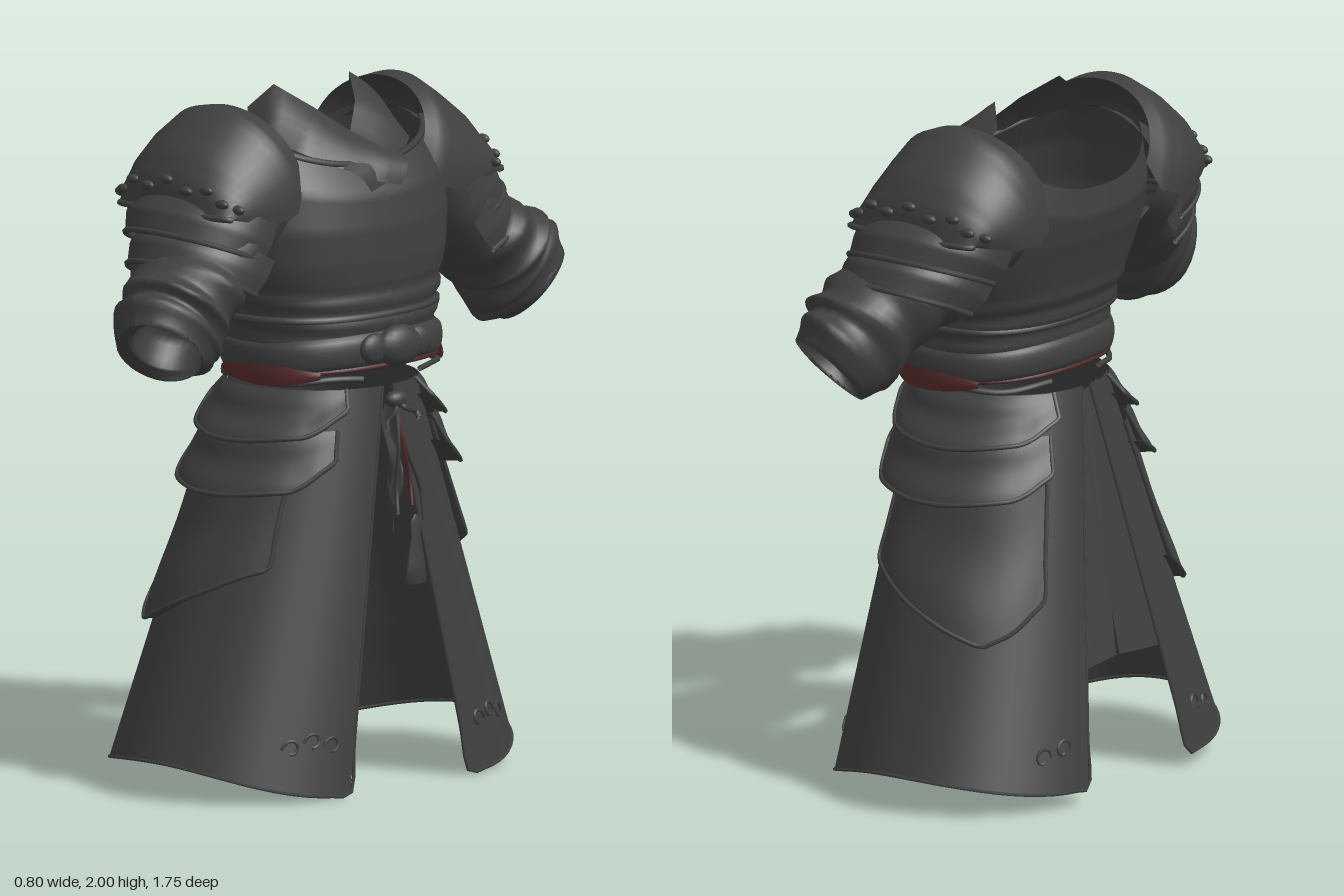
import * as THREE from 'three';

const mat = (name, color) => Object.assign(new THREE.MeshStandardMaterial({ color, side: THREE.DoubleSide }), { name });
const { sin, cos, abs, PI, min, max } = Math;
const mix = THREE.MathUtils.lerp;

// Piecewise linear reading of a list at t in 0..1 (numbers or rows of numbers)
function sample(list, t) {
  const f = min(max(t, 0), 1) * (list.length - 1), i = min(Math.floor(f), list.length - 2), k = f - i;
  return Array.isArray(list[0]) ? list[i].map((a, j) => mix(a, list[i + 1][j], k)) : mix(list[i], list[i + 1], k);
}

// Smooth sheet from a rule fn(u, v) -> [x, y, z]
function sheet(fn, nu, nv) {
  const pos = [], idx = [];
  for (let j = 0; j <= nv; j++) for (let i = 0; i <= nu; i++) pos.push(...fn(i / nu, j / nv));
  for (let j = 0; j < nv; j++) for (let i = 0; i < nu; i++) {
    const a = j * (nu + 1) + i, b = a + nu + 1;
    idx.push(a, a + 1, b, b, a + 1, b + 1);
  }
  const g = new THREE.BufferGeometry();
  g.setAttribute('position', new THREE.Float32BufferAttribute(pos, 3));
  g.setIndex(idx);
  g.computeVertexNormals();
  return g;
}

// Cord through points
function cord(points, r, closed = false, n = 40) {
  const curve = new THREE.CatmullRomCurve3(points.map(p => new THREE.Vector3(...p)), closed);
  return new THREE.TubeGeometry(curve, n, r, 6, closed);
}
const trace = (fn, n) => Array.from({ length: n + 1 }, (_, i) => fn(i / n));

// Signed power for fuller cross-sections
const full = (v, p) => Math.sign(v) * abs(v) ** p;

// Torso rows: height, back x, front x, half width
const TORSO = [
  [1.21, -0.19, 0.29, 0.32], [1.31, -0.19, 0.30, 0.33], [1.41, -0.22, 0.30, 0.355], [1.51, -0.25, 0.305, 0.39],
  [1.61, -0.28, 0.30, 0.41], [1.71, -0.30, 0.28, 0.40], [1.81, -0.29, 0.22, 0.365]];
function torsoPoint(a, v, off = 0) {
  const [y, xb, xf, w] = sample(TORSO, v), c = cos(a), s = sin(a);
  const lift = max(0, v - 0.6) / 0.4;
  const fold = v < 0.4 ? 0.006 * sin(v * 60 + 2 * c) : 0;
  return [(xb + xf) / 2 + ((xf - xb) / 2 + off + fold) * full(c, 0.85),
    y + lift * (0.075 * s * s - (c < 0 ? 0.05 * c * c : 0.02 * c * c)),
    (w + off + fold) * full(s, 0.85)];
}

// Skirt side panel, a from 0 (front slit) to PI (back slit)
function skirtPoint(a, y, off = 0) {
  const t = (1.15 - y) / 1.1, z0 = 0.02 + 0.22 * t, zs = 0.27 + 0.41 * t;
  const xf = 0.3 + 0.085 * t, xb = -0.21 - 0.185 * t;
  return [(xf + xb) / 2 + ((xf - xb) / 2 + off) * cos(a), y, z0 + (zs - z0 + off) * sin(a)];
}

// Sleeve rows: upper z, y, lower z, y, centre x, half depth, tilt toward the front
const SLEEVE = [
  [0.32, 1.88, 0.30, 1.52, -0.03, 0.23, 0], [0.49, 1.80, 0.36, 1.49, -0.01, 0.225, 0], [0.57, 1.70, 0.40, 1.45, 0.01, 0.21, 0],
  [0.64, 1.61, 0.46, 1.40, 0.03, 0.20, 0], [0.69, 1.59, 0.50, 1.385, 0.05, 0.195, 0], [0.73, 1.555, 0.55, 1.33, 0.07, 0.17, 0],
  [0.79, 1.535, 0.56, 1.31, 0.085, 0.17, 0.01], [0.80, 1.50, 0.585, 1.25, 0.09, 0.145, 0.02], [0.86, 1.485, 0.60, 1.23, 0.095, 0.135, 0.03],
  [0.875, 1.41, 0.68, 1.225, 0.115, 0.115, 0.04], [0.84, 1.41, 0.65, 1.26, 0.13, 0.085, 0.05], [0.76, 1.46, 0.60, 1.34, 0.11, 0.09, 0.04],
  [0.67, 1.45, 0.665, 1.445, 0.09, 0.004, 0]];
function sleevePoint(u, v) {
  const [uz, uy, lz, ly, xc, rx, tilt] = sample(SLEEVE, v), th = u * 2 * PI;
  const k = cos(th) * (1 + 0.03 * sin(v * 50 + 2 * th)), s = sin(th) * (1 + 0.03 * sin(v * 40 + th));
  return [xc + rx * s, (uy + ly) / 2 + (uy - ly) / 2 * k + tilt * 0.7 * s, (uz + lz) / 2 + (uz - lz) / 2 * k - tilt * 0.7 * s];
}

// Arched shoulder plates: top z, y, foot z, y, centre x, half depth
const PLATES = {
  shoulderDome: [[0.325, 1.96, 0.25, 1.78, -0.04, 0.22], [0.39, 1.965, 0.28, 1.705, -0.04, 0.255], [0.46, 1.92, 0.35, 1.68, -0.045, 0.265],
    [0.535, 1.86, 0.43, 1.67, -0.04, 0.255], [0.59, 1.78, 0.51, 1.68, -0.03, 0.235], [0.605, 1.69, 0.56, 1.685, -0.02, 0.215]],
  upperArmPlate: [[0.59, 1.74, 0.41, 1.66, -0.02, 0.24], [0.645, 1.70, 0.44, 1.60, -0.015, 0.24], [0.67, 1.64, 0.47, 1.56, -0.005, 0.225]],
  lowerArmPlate: [[0.62, 1.66, 0.43, 1.56, 0.01, 0.22], [0.68, 1.62, 0.47, 1.51, 0.015, 0.22], [0.71, 1.56, 0.51, 1.47, 0.025, 0.205]],
};
const archPoint = rows => (u, v) => {
  const [tz, ty, fz, fy, xc, rx] = sample(rows, v), th = (u - 0.5) * PI * 1.04, k = full(cos(th), 0.9);
  return [xc + rx * sin(th), mix(fy, ty, k), mix(fz, tz, k)];
};

// Hanging side plates: angle range, top y, bottom y along u, offset top and bottom
const TASSETS = {
  lowerTasset: [0.95, 2.65, 1.0, [0.66, 0.63, 0.59, 0.55, 0.51, 0.475, 0.51, 0.59], 0.015, 0.035],
  middleTasset: [0.55, 2.65, 1.04, [0.96, 0.88, 0.87, 0.86, 0.86, 0.87, 0.88, 0.94], 0.035, 0.07],
  upperTasset: [0.5, 2.7, 1.15, [1.1, 1.03, 1.02, 1.01, 1.01, 1.02, 1.03, 1.09], 0.01, 0.062],
};

export function createModel() {
  const root = new THREE.Group();
  root.name = 'layeredArmour';
  const dark = mat('dark leather', 0x3f3f3f), red = mat('red cord', 0x562b2b);
  const add = (parent, name, geo, m = dark) => {
    const mesh = new THREE.Mesh(geo, m);
    mesh.name = name;
    parent.add(mesh);
    return mesh;
  };

  // Torso shell with front neckline rim and waist fold
  add(root, 'torso', sheet((u, v) => torsoPoint(u * 2 * PI, v), 56, 36));
  add(root, 'necklineRim', cord(trace(u => torsoPoint(mix(-1.1, 1.1, u), 0.99), 16), 0.01));
  add(root, 'waistFold', cord(trace(u => torsoPoint(u * 2 * PI, 0.24, -0.004), 31).slice(0, 31), 0.012, true, 80));

  // Belt and buckle
  add(root, 'belt', sheet((u, v) => {
    const p = torsoPoint(u * 2 * PI, 0, 0.004 + 0.02 * sin(PI * v) ** 0.4);
    return [p[0], 1.2 + v * 0.1 + 0.008 * cos(4 * PI * u), p[2]];
  }, 48, 8));
  const ball = new THREE.SphereGeometry(1, 18, 12);
  [[0, 0.04, 0.06, 0.085], [0.09, 0.025, 0.045, 0.055], [-0.09, 0.025, 0.045, 0.055]].forEach(([z, sx, sy, sz]) => {
    const b = add(root, z ? 'buckleLobe' : 'buckle', ball);
    b.position.set(z ? 0.315 : 0.325, 1.265, z);
    b.scale.set(sx, sy, sz);
  });

  // Crossed collar lapels: inner edge x, y, z then outer edge x, y, z
  const LAPEL = [[-0.07, 1.93, 0.215, -0.07, 1.85, 0.26], [-0.02, 1.995, 0.16, 0.05, 1.86, 0.27], [0.07, 1.93, 0.09, 0.16, 1.82, 0.22],
    [0.13, 1.86, 0.005, 0.23, 1.765, 0.11], [0.20, 1.81, -0.06, 0.265, 1.725, 0.01], [0.23, 1.78, -0.13, 0.275, 1.71, -0.06]];
  [1, -1].forEach(s => add(root, 'collarLapel', sheet((u, v) => {
    const r = sample(LAPEL, u), b = 0.012 * sin(PI * v) + (s > 0 ? 0.006 : 0);
    return [mix(r[0], r[3], v) + b, mix(r[1], r[4], v) + b, s * mix(r[2], r[5], v)];
  }, 20, 6)));

  // Red waist cord widening to a band at each side, with a loose strap below
  const ring = trace(u => {
    const p = torsoPoint(u * 2 * PI, 0, 0.006);
    return [p[0], 1.21 - 0.008 * sin(2 * PI * u) ** 2, p[2]];
  }, 24).slice(0, 24);
  add(root, 'redWaistCord', cord(ring, 0.009, true, 80), red);
  [1, -1].forEach(s => {
    add(root, 'redSideBand', sheet((u, v) => {
      const p = torsoPoint(s * mix(0.75, 2.0, u), 0, 0.022 + 0.004 * sin(v * PI));
      return [p[0], 1.197 + (v - 0.5) * (0.018 + 0.045 * sin(PI * u)), p[2]];
    }, 20, 4), red);
    add(root, 'sideStrap', cord(trace(u => {
      const p = torsoPoint(s * mix(0.3, PI - 0.3, u), 0, 0.01);
      return [p[0], 1.178 + 0.006 * sin(u * 14), p[2]];
    }, 14), 0.009));
  });

  const skirt = new THREE.Group();
  skirt.name = 'skirt';
  skirt.position.z = 0.02;
  root.add(skirt);

  [1, -1].forEach(s => {
    // Arm: folded sleeve and overlapping plates
    const arm = new THREE.Group();
    arm.name = s > 0 ? 'leftArm' : 'rightArm';
    arm.scale.z = s;
    root.add(arm);
    add(arm, 'sleeve', sheet(sleevePoint, 30, 48));
    for (const [name, rows] of Object.entries(PLATES)) {
      const f = archPoint(rows);
      add(arm, name, sheet(f, 28, 15));
      add(arm, name + 'Rim', cord(trace(u => f(u, 1), 16), 0.009));
    }
    // Raised leaf ornaments above the dome's lower edge
    const dome = archPoint(PLATES.shoulderDome);
    for (let i = 0; i < 9; i++) {
      const leaf = add(arm, 'domeLeaf', ball);
      leaf.position.set(...dome(0.1 + i * 0.1, 0.8 + 0.05 * (i % 2)));
      leaf.scale.set(0.024, 0.014, 0.014);
    }

    // Skirt half: side panel, hem and tassets
    const half = new THREE.Group();
    half.name = 'skirtHalf';
    half.scale.z = s;
    skirt.add(half);
    const hem = a => 0.105 - (a < PI / 2 ? 0.1 : 0.065) * cos(a) ** 2;
    const panel = (u, v) => skirtPoint(u * PI, mix(1.15, hem(u * PI), v));
    add(half, 'skirtPanel', sheet(panel, 40, 20));
    add(half, 'skirtHem', cord([...trace(v => panel(0, v), 8), ...trace(u => panel(u, 1), 24).slice(1), ...trace(v => panel(1, 1 - v), 8).slice(1)], 0.005, false, 90));
    for (const [name, [a0, a1, top, low, o0, o1]] of Object.entries(TASSETS)) {
      const f = (u, v) => skirtPoint(mix(a0, a1, u), mix(top, sample(low, u), v),
        (mix(o0, o1, v) + 0.006 * sin(v * 9) * sin(PI * u)) * (0.4 + 0.6 * sin(PI * min(max(u, 0.03), 0.97)) ** 0.3));
      add(half, name, sheet(f, 28, 14));
      add(half, name + 'Rim', cord([...trace(v => f(0, v), 4), ...trace(u => f(u, 1), 18).slice(1), ...trace(v => f(1, 1 - v), 4).slice(1)], 0.007, false, 60));
      // Turned-in lower lip
      add(half, name + 'Lip', sheet((u, v) => {
        const y = sample(low, u);
        return f(u, 1).map((c, i) => mix(c, skirtPoint(mix(a0, a1, u), y, 0)[i], v));
      }, 28, 1));
    }

    // Inner skirt close behind the panel, meeting its twin at the back
    add(half, 'innerSkirt', sheet((u, v) => {
      const a = mix(0.6, PI, u), y = mix(1.13, 0.33 + 0.04 * max(0, u - 0.75) / 0.25, v);
      const [x, , z] = skirtPoint(a, y, -0.018), side = skirtPoint(PI / 2, y, -0.018)[2];
      return [x, y, mix(z, side * sin(a), max(0, u * 1.6 - 0.6)) + mix(-0.035, 0.007, v) * u];
    }, 28, 14));

    // Raised scrollwork near the lower front and back corners
    [0.2, 0.36, 0.52, PI - 0.25, PI - 0.42].forEach((a, i) => {
      const scroll = trace(t => {
        const w = t * 5, r = 0.03 * (1 - 0.6 * t);
        return skirtPoint(a + 2.4 * r * cos(w), 0.15 + 0.015 * (i % 2) + r * sin(w), 0.001);
      }, 10);
      add(half, 'scrollwork', cord(scroll, 0.005, false, 24));
    });
  });

  // Front knot, hanging cords, torn cloth and tassel
  const knot = add(root, 'frontKnot', ball);
  knot.position.set(0.325, 1.11, 0.01);
  knot.scale.set(0.025, 0.025, 0.04);
  [[0.07, 1.03, dark], [-0.06, 1.05, dark], [0.03, 0.78, dark], [-0.03, 0.8, red], [-0.08, 0.75, dark]].forEach(([z, y, m], i) =>
    add(root, 'hangingCord', cord([[0.325, 1.11, 0.01], [0.345, mix(1.11, y, 0.4), z * 0.3 + 0.012], [0.335, mix(1.11, y, 0.75), z * 0.9 - 0.008], [0.35, y, z]], m === red ? 0.005 : 0.006 + 0.002 * (i % 2)), m));
  add(root, 'tornCloth', sheet((u, v) => [0.32 + 0.015 * sin(v * 11 + u * 4), 1.1 - v * (0.34 + 0.04 * sin(u * 9)),
    (u - 0.5) * (0.045 + 0.03 * sin(v * 5)) + 0.015 + 0.01 * sin(v * 8)], 8, 14));
  const tassel = add(root, 'tassel', new THREE.LatheGeometry(
    [[0.004, 0.2], [0.022, 0.18], [0.018, 0.14], [0.036, 0.06], [0.045, 0], [0.001, 0.005]].map(p => new THREE.Vector2(...p)), 12));
  tassel.position.set(0.34, 0.57, -0.055);
  tassel.scale.x = 0.4;

  return root;
}
